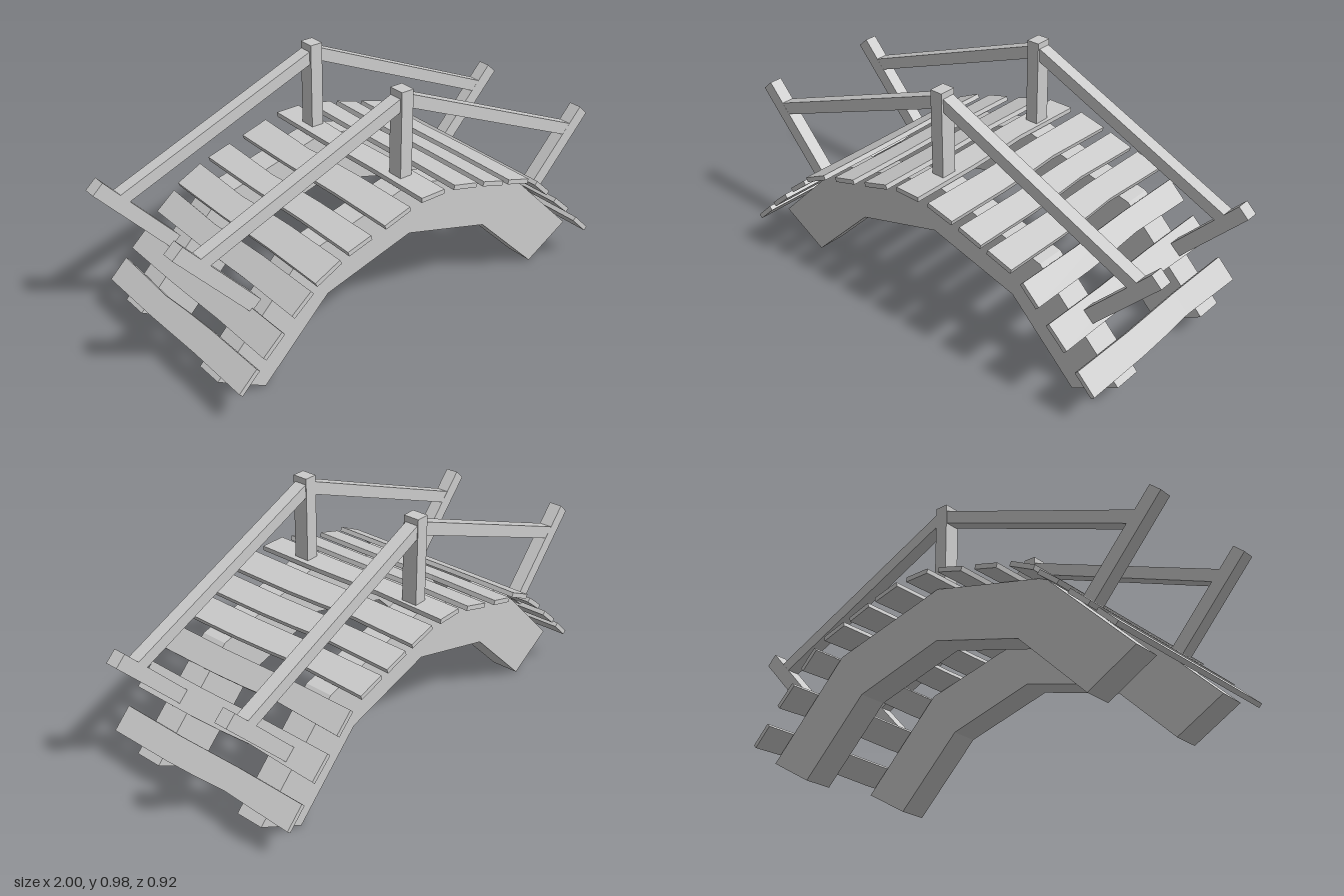
import * as THREE from 'three';

const material = new THREE.MeshStandardMaterial({ color: 0xcccccc, flatShading: true });

function addMesh(parent, name, geometry) {
  const mesh = new THREE.Mesh(geometry, material);
  mesh.name = name;
  parent.add(mesh);
  return mesh;
}

// Outline extruded to a given depth, centred on its own z
function slab(points, depth) {
  const shape = new THREE.Shape(points.map(([x, y]) => new THREE.Vector2(x, y)));
  const geometry = new THREE.ExtrudeGeometry(shape, { depth, bevelEnabled: false });
  return geometry.translate(0, 0, -depth / 2);
}

// Square timber running between two points in the xy plane
function timber(parent, name, [x1, y1], [x2, y2], thick, depth, z) {
  const length = Math.hypot(x2 - x1, y2 - y1);
  const mesh = addMesh(parent, name, new THREE.BoxGeometry(length, thick, depth));
  mesh.position.set((x1 + x2) / 2, (y1 + y2) / 2, z);
  mesh.rotation.z = Math.atan2(y2 - y1, x2 - x1);
}

export function createModel() {
  const model = new THREE.Group();
  model.name = 'footbridge';

  // Two angular arched beams
  const arch = [
    [-0.88, 0.12], [-0.68, 0.005], [-0.39, 0.29], [0, 0.4], [0.39, 0.29], [0.68, 0.005],
    [0.88, 0.12], [0.515, 0.485], [0, 0.615], [-0.515, 0.485],
  ];
  for (const z of [0.249, -0.286]) {
    addMesh(model, 'archBeam', slab(arch, 0.117)).position.z = z;
  }

  // Deck planks: centre x, centre y, tilt in degrees, width
  const planks = [
    [-0.842, 0.192, 44, 0.105], [-0.735, 0.297, 42, 0.11], [-0.61, 0.415, 39, 0.108],
    [-0.497, 0.498, 26, 0.12], [-0.345, 0.543, 16, 0.108], [-0.172, 0.592, 17, 0.122],
    [-0.005, 0.624, 0, 0.11], [0.156, 0.608, -14, 0.12], [0.3, 0.569, -17, 0.108],
    [0.437, 0.53, -17, 0.115], [0.577, 0.451, -44, 0.102], [0.7, 0.329, -43, 0.112],
    [0.83, 0.192, -45, 0.107],
  ];
  const half = 0.453;
  planks.forEach(([x, y, tilt, width], i) => {
    // Slightly wavy outline drawn flat, then laid down
    const w = width / 2;
    const outline = [
      [-w, -half], [w, -half], [w, -0.16], [w - 0.005, 0], [w - 0.013, 0.14], [w - 0.007, 0.3],
      [w - 0.002, half], [-w, half], [-w - 0.002, 0.14], [-w + 0.003, -0.16],
    ];
    const geometry = slab(outline, 0.019).rotateX(-Math.PI / 2);
    const plank = addMesh(model, 'plank', geometry);
    plank.position.set(x, y, i < 4 ? 0.004 : -0.012);
    plank.rotation.z = THREE.MathUtils.degToRad(tilt);
  });

  // Handrail on each side: centre post, leaning end posts, sloping rails
  for (const z of [0.249, -0.299]) {
    const railing = new THREE.Group();
    railing.name = 'railing';
    model.add(railing);
    timber(railing, 'centrePost', [0, 0.6], [0, 0.985], 0.054, 0.066, z);
    timber(railing, 'leftPost', [0.697, 0.315], [0.978, 0.612], 0.058, 0.055, z - 0.003);
    timber(railing, 'rightPost', [-0.682, 0.343], [-0.978, 0.676], 0.058, 0.055, z - 0.003);
    timber(railing, 'leftRail', [0, 0.945], [0.895, 0.547], 0.05, 0.054, z - 0.003);
    timber(railing, 'rightRail', [0, 0.94], [-0.89, 0.595], 0.05, 0.054, z - 0.003);
  }
  return model;
}
